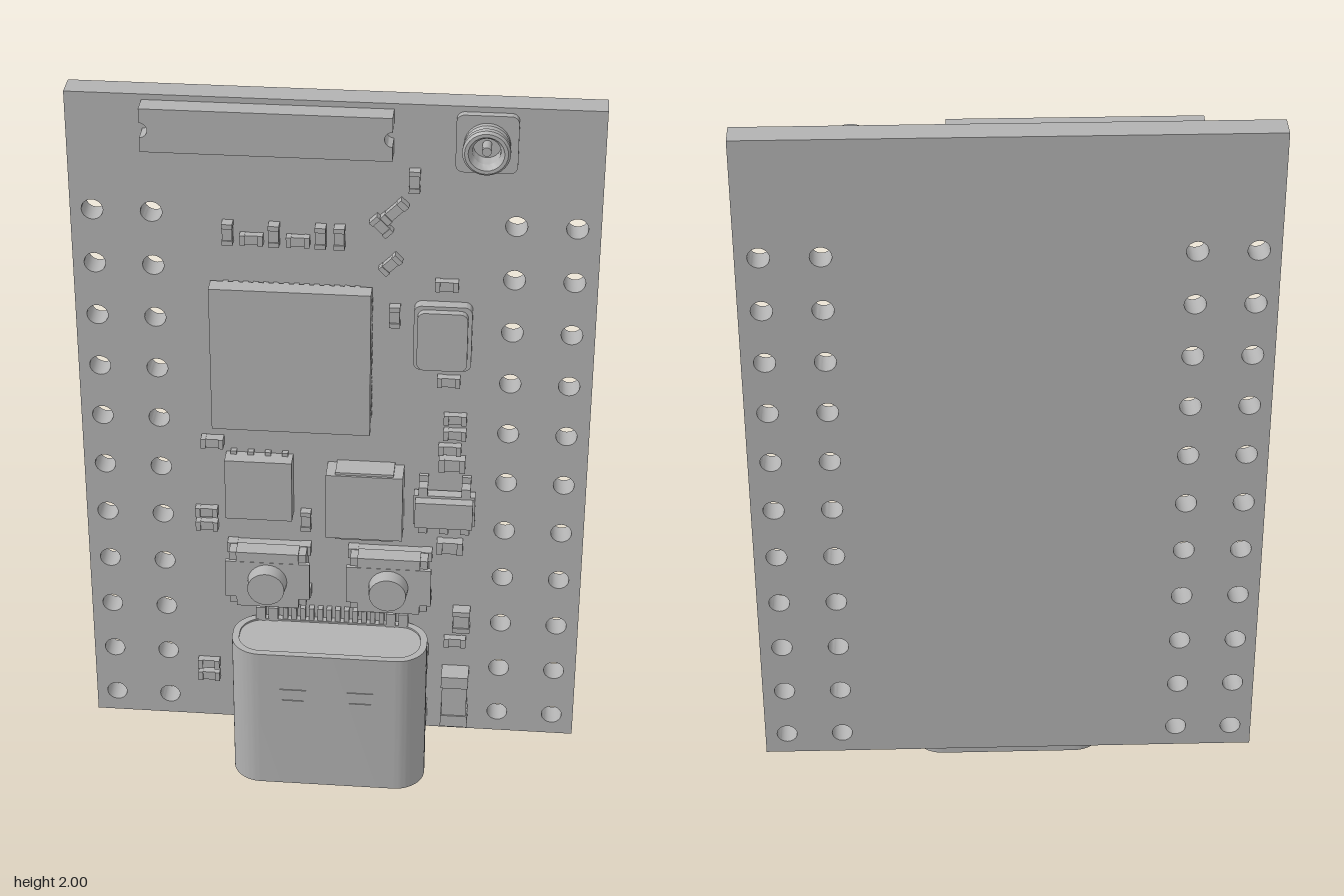
import * as THREE from 'three';
import { toCreasedNormals } from 'three/addons/utils/BufferGeometryUtils.js';

const TOP = -0.06; // front surface of the board

export function createModel() {
  const model = new THREE.Group();
  model.name = 'microcontrollerBoard';
  const grey = new THREE.MeshStandardMaterial({ color: 0xb2b2b2 });
  grey.name = 'plain grey';

  const add = (name, geo, parent = model) => {
    const mesh = new THREE.Mesh(geo, grey);
    mesh.name = name;
    parent.add(mesh);
    return mesh;
  };
  const group = (name) => {
    const g = new THREE.Group();
    g.name = name;
    model.add(g);
    return g;
  };
  // Box given by its limits
  const block = (name, x0, x1, y0, y1, z0, z1, parent) => {
    const mesh = add(name, new THREE.BoxGeometry(x1 - x0, y1 - y0, z1 - z0), parent);
    mesh.position.set((x0 + x1) / 2, (y0 + y1) / 2, (z0 + z1) / 2);
    return mesh;
  };
  const extrude = (shape, depth, segments = 10) => toCreasedNormals(new THREE.ExtrudeGeometry(shape,
    { depth, bevelEnabled: false, curveSegments: segments }), 0.6);
  const roundRect = (w, h, r, T = THREE.Shape) => {
    const x = w / 2, y = h / 2, s = new T();
    s.moveTo(-x + r, -y).lineTo(x - r, -y).absarc(x - r, -y + r, r, -Math.PI / 2, 0);
    s.lineTo(x, y - r).absarc(x - r, y - r, r, 0, Math.PI / 2);
    s.lineTo(-x + r, y).absarc(-x + r, y - r, r, Math.PI / 2, Math.PI);
    s.lineTo(-x, -y + r).absarc(-x + r, -y + r, r, Math.PI, Math.PI * 1.5);
    return s;
  };
  const roundPlate = (name, x, y, w, h, r, z0, z1, parent) => {
    const mesh = add(name, extrude(roundRect(w, h, r), z1 - z0, 5), parent);
    mesh.position.set(x, y, z0);
    return mesh;
  };

  // Board with two columns of pin holes on each side
  const board = new THREE.Shape();
  board.moveTo(-0.675, 0.08).lineTo(0.675, 0.08).lineTo(0.675, 2).lineTo(-0.675, 2).closePath();
  for (const x of [-0.618, -0.466, 0.462, 0.615]) {
    for (let i = 0; i < 11; i++) {
      const hole = new THREE.Path();
      hole.absarc(x, 0.145 + i * 0.153, 0.028, 0, Math.PI * 2, true);
      board.holes.push(hole);
    }
  }
  add('circuitBoard', extrude(board, 0.07, 10)).position.z = -0.13;

  // Antenna with a notch in each end
  const ant = new THREE.Shape();
  ant.moveTo(-0.48, 1.868).lineTo(0.15, 1.868).lineTo(0.15, 1.907);
  ant.absarc(0.15, 1.927, 0.02, -Math.PI / 2, Math.PI / 2, true);
  ant.lineTo(0.15, 1.985).lineTo(-0.48, 1.985).lineTo(-0.48, 1.947);
  ant.absarc(-0.48, 1.927, 0.02, Math.PI / 2, -Math.PI / 2, true);
  add('antenna', extrude(ant, 0.055, 6)).position.z = TOP;

  // Coaxial socket
  const coax = group('coaxSocket');
  roundPlate('socketBase', 0.382, 1.908, 0.155, 0.155, 0.02, TOP, -0.04, coax);
  const ring = [[0.035, 0], [0.058, 0], [0.058, 0.015], [0.052, 0.02], [0.052, 0.03],
    [0.06, 0.035], [0.06, 0.05], [0.054, 0.056], [0.045, 0.056], [0.035, 0.04], [0.035, 0]]
    .map((p) => new THREE.Vector2(...p));
  const barrel = add('socketBarrel', toCreasedNormals(new THREE.LatheGeometry(ring, 28), 0.5), coax);
  barrel.rotation.x = Math.PI / 2;
  barrel.position.set(0.382, 1.908, -0.041);
  const pin = add('socketPin', new THREE.CylinderGeometry(0.012, 0.012, 0.045, 14), coax);
  pin.rotation.x = Math.PI / 2;
  pin.position.set(0.382, 1.908, -0.02);

  // Main chip with contacts along all four edges
  const chip = group('mainChip');
  block('chipBody', -0.318, 0.1, 1.07, 1.488, -0.052, -0.005, chip);
  for (let i = 0; i < 14; i++) {
    const t = -0.17 + i * 0.0262;
    for (const s of [-1, 1]) {
      block('chipContact', -0.116 + t, -0.102 + t, 1.279 + s * 0.195 - 0.013, 1.279 + s * 0.195 + 0.013, TOP, -0.045, chip);
      block('chipContact', -0.109 + s * 0.197 - 0.013, -0.109 + s * 0.197 + 0.013, 1.272 + t, 1.286 + t, TOP, -0.045, chip);
    }
  }

  // Crystal can
  const crystal = group('crystal');
  roundPlate('crystalBase', 0.284, 1.358, 0.15, 0.188, 0.02, TOP, -0.03, crystal);
  roundPlate('crystalLid', 0.284, 1.358, 0.13, 0.168, 0.02, -0.03, -0.01, crystal);

  // Memory chip with four legs at top and bottom
  const memory = group('memoryChip');
  block('memoryBody', -0.288, -0.108, 0.785, 0.968, TOP, -0.01, memory);
  for (let i = 0; i < 4; i++) {
    const x = -0.267 + i * 0.046;
    block('memoryLeg', x - 0.008, x + 0.008, 0.775, 0.978, TOP, -0.045, memory);
  }

  // Inductor
  const coil = group('inductor');
  block('inductorBody', -0.015, 0.19, 0.752, 0.95, TOP, 0.01, coil);
  block('inductorEnds', 0.01, 0.165, 0.745, 0.957, TOP, 0.004, coil);

  // Regulator: body with bevelled sides and bent legs
  const reg = group('regulator');
  block('regulatorLower', 0.218, 0.382, 0.79, 0.882, -0.05, -0.02, reg);
  block('regulatorUpper', 0.223, 0.377, 0.797, 0.875, -0.02, 0.008, reg);
  for (const [x, s] of [[0.243, 1], [0.357, 1], [0.243, -1], [0.3, -1], [0.357, -1]]) {
    const edge = 0.836 + s * 0.046;
    const side = (a, b, z0, z1) => block('regulatorLeg', x - 0.012, x + 0.012,
      Math.min(edge + s * a, edge + s * b), Math.max(edge + s * a, edge + s * b), z0, z1, reg);
    side(-0.005, 0.025, -0.028, -0.017);
    side(0.015, 0.026, TOP, -0.017);
    side(0.015, 0.045, TOP, -0.049);
  }

  // Push buttons
  for (const x of [-0.174, 0.156]) {
    const button = group('pushButton');
    block('buttonBody', x - 0.105, x + 0.105, 0.525, 0.69, TOP, 0.01, button);
    block('buttonCover', x - 0.085, x + 0.085, 0.52, 0.695, -0.03, 0.018, button);
    block('buttonCover', x - 0.115, x + 0.115, 0.55, 0.665, 0.006, 0.019, button);
    for (const sx of [-1, 1]) for (const sy of [-1, 1]) {
      block('buttonFoot', x + sx * 0.1 - 0.014, x + sx * 0.1 + 0.014,
        0.607 + sy * 0.07 - 0.015, 0.607 + sy * 0.07 + 0.015, TOP, -0.03, button);
    }
    const cap = add('buttonCap', new THREE.CylinderGeometry(0.05, 0.054, 0.045, 28), button);
    cap.rotation.x = Math.PI / 2;
    cap.position.set(x, 0.605, 0.037);
  }

  // Port: open shell, closed rear, tongue and contacts
  const port = group('port');
  const shell = roundRect(0.535, 0.187, 0.082);
  shell.holes.push(roundRect(0.497, 0.149, 0.064, THREE.Path));
  const upright = (name, shape, h, y) => {
    const mesh = add(name, extrude(shape, h, 10).rotateX(-Math.PI / 2), port);
    mesh.position.set(-0.002, y, 0.037);
  };
  upright('portShell', shell, 0.44, 0);
  upright('portRear', roundRect(0.499, 0.151, 0.064), 0.13, 0.305);
  upright('portTongue', roundRect(0.37, 0.04, 0.012), 0.29, 0.03);
  for (const x of [-0.095, 0.09]) {
    for (const s of [-1, 1]) {
      block('springFrame', x - 0.036, x + 0.036, 0.305 + s * 0.018 - 0.003, 0.305 + s * 0.018 + 0.003, 0.128, 0.133, port);
      block('springFrame', x + s * 0.033 - 0.003, x + s * 0.033 + 0.003, 0.287, 0.323, 0.128, 0.133, port);
    }
  }
  for (const s of [-1, 1]) for (const y of [0.15, 0.34]) {
    block('portLeg', s * 0.25 - 0.015, s * 0.25 + 0.015, y - 0.03, y + 0.03, TOP - 0.02, 0.02, port);
  }
  for (let i = 0; i < 12; i++) {
    const x = -0.132 + i * 0.0242;
    block('portContact', x - 0.007, x + 0.007, 0.42, 0.478, TOP, -0.04, port);
  }
  for (const x of [-0.2, -0.165, 0.16, 0.195]) block('portContact', x - 0.013, x + 0.013, 0.42, 0.478, TOP, -0.035, port);

  // Small parts: [x, y, width, height, front z, turn]
  const part = (name, x, y, w, h, z, turn = 0) => {
    const g = group(name), long = Math.max(w, h), wide = Math.min(w, h);
    block('body', -long * 0.3, long * 0.3, -wide * 0.46, wide * 0.46, TOP, z - 0.004, g);
    for (const s of [-1, 1]) {
      block('endCap', s * long * 0.39 - long * 0.11, s * long * 0.39 + long * 0.11, -wide / 2, wide / 2, TOP, z, g);
    }
    g.position.set(x, y, 0);
    g.rotation.z = turn + (h > w ? Math.PI / 2 : 0);
  };
  for (const x of [-0.27, -0.151, -0.032, 0.016]) part('capacitor', x, 1.632, 0.028, 0.06, -0.03);
  part('capacitor', -0.323, 1.005, 0.06, 0.028, -0.03);
  part('largeCapacitor', 0.354, 0.468, 0.048, 0.07, -0.025);
  part('diode', 0.342, 0.213, 0.075, 0.17, 0);
  const resistors = [[-0.209, 1.615], [-0.09, 1.615], [0.291, 1.505], [0.302, 1.222], [0.322, 1.108],
    [0.322, 1.061], [0.31, 1.013], [-0.344, 0.78], [-0.344, 0.737], [0.338, 0.388], [-0.35, 0.27], [-0.35, 0.23]];
  for (const [x, y] of resistors) part('resistor', x, y, 0.06, 0.028, -0.036);
  for (const [x, y] of [[0.204, 1.797], [0.159, 1.41], [-0.074, 0.767]]) part('resistor', x, y, 0.028, 0.06, -0.036);
  for (const [x, y] of [[0.317, 0.97], [0.317, 0.706]]) part('wideResistor', x, y, 0.07, 0.038, -0.03);
  part('resistor', 0.155, 1.71, 0.075, 0.028, -0.036, Math.PI / 4);
  part('resistor', 0.122, 1.668, 0.06, 0.028, -0.036, -Math.PI / 4);
  part('resistor', 0.147, 1.56, 0.06, 0.028, -0.036, Math.PI / 4);

  return model;
}
